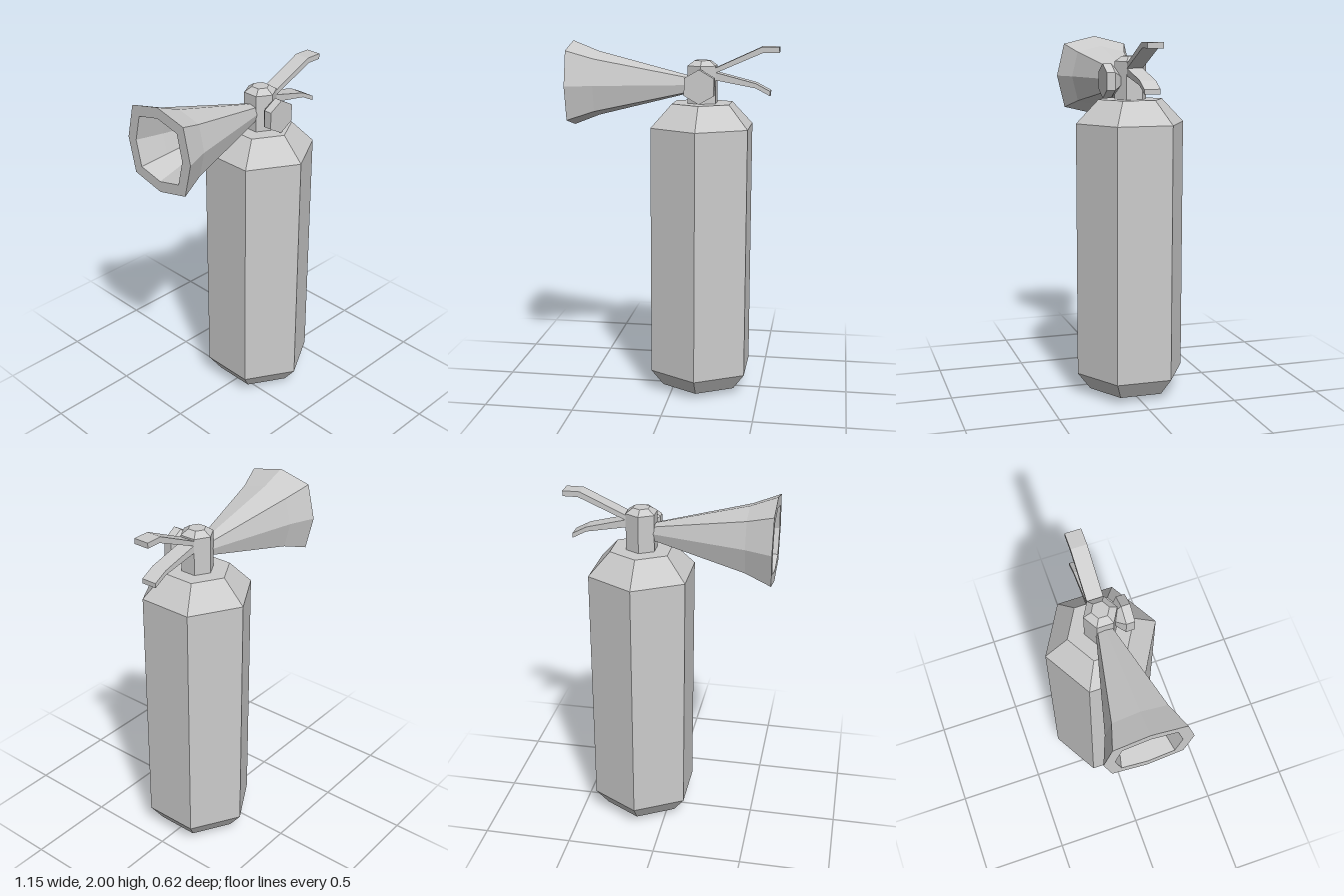
import * as THREE from 'three';

const AXIS_X = 0.153; // centre line of the bottle
const HEAD_Y = 1.765; // height of the horn and gauge centres

const material = new THREE.MeshStandardMaterial({ color: 0xcccccc, flatShading: true });

function lathe(profile, sides) {
  return new THREE.LatheGeometry(profile.map(([r, y]) => new THREE.Vector2(r, y)), sides);
}

function addPart(group, name, geometry, x = 0, y = 0, z = 0) {
  const mesh = new THREE.Mesh(geometry, material);
  mesh.name = name;
  mesh.position.set(x, y, z);
  group.add(mesh);
  return mesh;
}

// Side outline extruded across z, centred on the middle plane
function leverGeometry(outline, width) {
  const shape = new THREE.Shape(outline.map(([x, y]) => new THREE.Vector2(x, y)));
  const geometry = new THREE.ExtrudeGeometry(shape, { depth: width, bevelEnabled: false });
  return geometry.translate(0, 0, -width / 2);
}

// Eight-sided hollow horn opening towards -x, its diagonal corners pushed out
function hornGeometry() {
  const geometry = lathe([
    [0, -0.09], [0.046, -0.09], [0.178, 0.43], [0.235, 0.575],
    [0.175, 0.575], [0.135, 0.43], [0.03, 0], [0, 0],
  ], 8);
  const p = geometry.attributes.position;
  for (let i = 0; i < p.count; i++) {
    const x = p.getX(i), z = p.getZ(i);
    if (Math.min(Math.abs(x), Math.abs(z)) > 0.001) {
      p.setX(i, x * 1.14);
      p.setZ(i, z * 1.14);
    }
  }
  return geometry.rotateZ(Math.PI / 2);
}

export function createModel() {
  const model = new THREE.Group();
  model.name = 'fireExtinguisher';

  // Six-sided bottle with bevelled base and shoulder
  addPart(model, 'bottle', lathe([
    [0, 0.005], [0.235, 0.035], [0.308, 0.13], [0.308, 1.537], [0.182, 1.665], [0, 1.665],
  ], 6), AXIS_X);

  // Valve neck and its bevelled cap
  addPart(model, 'valve', lathe([
    [0.09, 1.65], [0.09, 1.87], [0.048, 1.898], [0, 1.898],
  ], 6), AXIS_X);

  // Gauge on the front of the valve
  const gauge = lathe([
    [0.035, 0.04], [0.035, 0.058], [0.066, 0.083], [0.094, 0.11], [0.094, 0.157], [0, 0.157],
  ], 6).rotateX(Math.PI / 2);
  addPart(model, 'gauge', gauge, AXIS_X, HEAD_Y, 0);

  addPart(model, 'horn', hornGeometry(), 0, HEAD_Y, 0);

  // Carrying lever and squeeze lever
  addPart(model, 'upperLever', leverGeometry([
    [0.18, 1.79], [0.23, 1.832], [0.49, 1.945], [0.575, 1.945],
    [0.575, 1.975], [0.48, 1.975], [0.23, 1.86], [0.18, 1.837],
  ], 0.088));
  addPart(model, 'lowerLever', leverGeometry([
    [0.18, 1.8], [0.23, 1.793], [0.45, 1.753], [0.53, 1.711],
    [0.53, 1.737], [0.45, 1.779], [0.23, 1.835], [0.18, 1.845],
  ], 0.088));

  return model;
}
